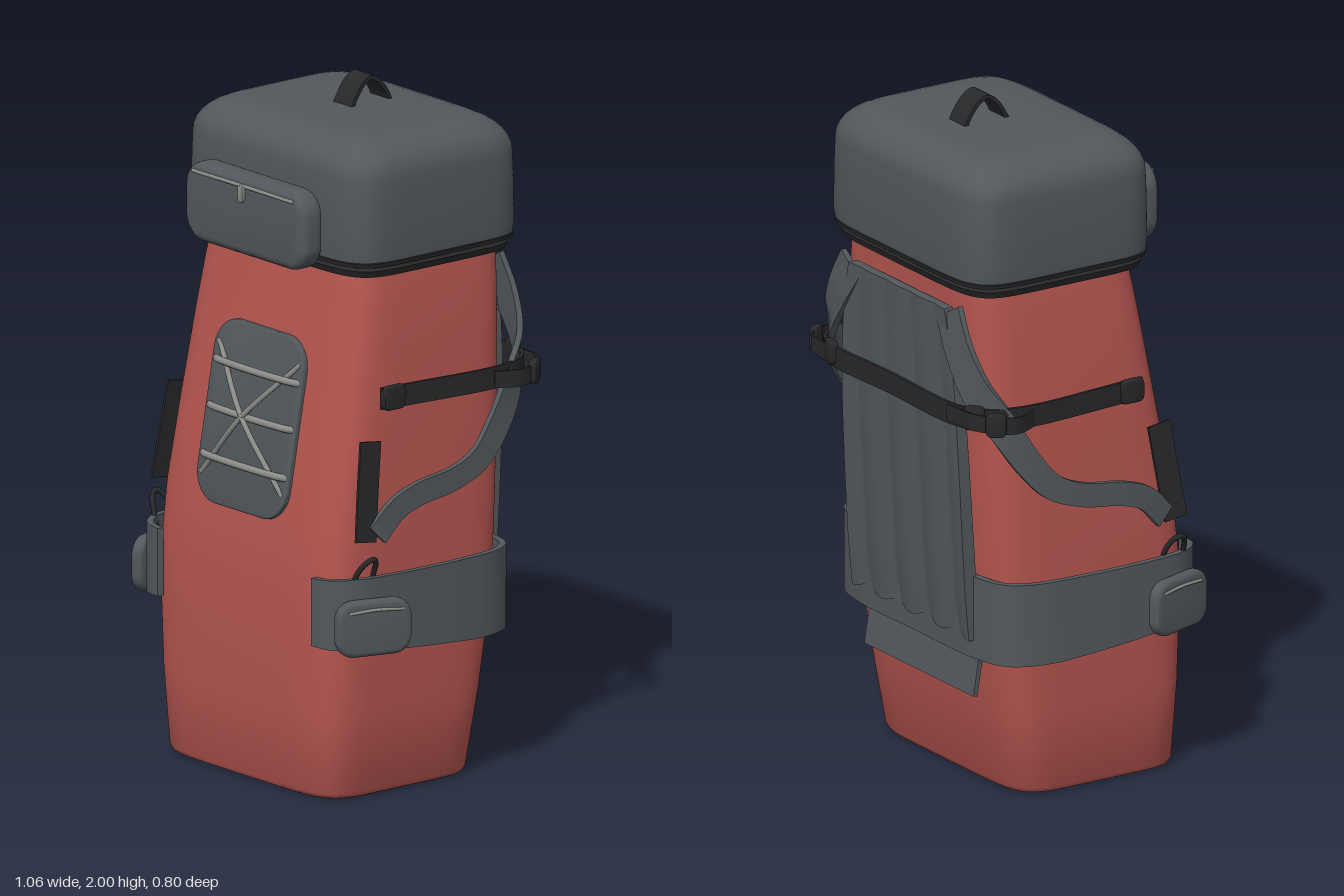
import * as THREE from 'three';
import { toCreasedNormals } from 'three/addons/utils/BufferGeometryUtils.js';

const RED = 0xb5554f, GREY = 0x52585c, BLACK = 0x28282b, CORD = 0x8c8c88;
const V = (x, y, z) => new THREE.Vector3(x, y, z);

function add(parent, name, geo, color, pos = [0, 0, 0], rot = [0, 0, 0]) {
  const m = new THREE.Mesh(geo, new THREE.MeshStandardMaterial({ color, side: THREE.DoubleSide }));
  m.name = name;
  m.position.set(...pos);
  m.rotation.set(...rot);
  parent.add(m);
  return m;
}

// Closed skin through rings of points, with a fan cap at both ends
function loft(rings, crease = 0.7) {
  const n = rings[0].length, pos = [], idx = [];
  rings.forEach(r => r.forEach(p => pos.push(p.x, p.y, p.z)));
  for (let i = 0; i < rings.length - 1; i++)
    for (let j = 0; j < n; j++) {
      const a = i * n + j, b = i * n + (j + 1) % n;
      idx.push(a, b, b + n, a, b + n, a + n);
    }
  [0, rings.length - 1].forEach((k, end) => {
    const c = rings[k].reduce((s, p) => s.add(p), V(0, 0, 0)).divideScalar(n), ci = pos.length / 3;
    pos.push(c.x, c.y, c.z);
    for (let j = 0; j < n; j++) {
      const a = k * n + j, b = k * n + (j + 1) % n;
      end ? idx.push(ci, a, b) : idx.push(ci, b, a);
    }
  });
  const g = new THREE.BufferGeometry();
  g.setAttribute('position', new THREE.Float32BufferAttribute(pos, 3));
  g.setIndex(idx);
  return toCreasedNormals(g, crease);
}

// Horizontal rounded-square ring: height, half width, front z, back z
function ring([y, hw, zf, zb]) {
  const f = v => Math.sign(v) * Math.abs(v) ** (2 / 6.5);
  return Array.from({ length: 88 }, (_, i) => {
    const t = (i / 88) * Math.PI * 2;
    return V(hw * f(Math.sin(t)), y, (zf + zb) / 2 + (zf - zb) / 2 * f(Math.cos(t)));
  });
}

// Direction pointing away from the boxy pack
const packNormal = p => V(Math.sign(p.x) * Math.abs(p.x / 0.43) ** 5, 0, Math.sign(p.z) * Math.abs(p.z / 0.34) ** 5);

// Flat webbing swept along points; width may vary along the path
function strap(pts, width, thick, normalAt = packNormal, steps = 60) {
  const curve = new THREE.CatmullRomCurve3(pts.map(p => V(...p)), false, 'centripetal');
  const rings = [];
  for (let i = 0; i <= steps; i++) {
    const u = i / steps, p = curve.getPointAt(u), t = curve.getTangentAt(u);
    const w = t.clone().cross(normalAt(p)).normalize(), n = w.clone().cross(t);
    w.multiplyScalar((typeof width === 'function' ? width(u) : width) / 2);
    n.multiplyScalar(thick / 2);
    rings.push([[1, 1], [-1, 1], [-1, -1], [1, -1]].map(([a, b]) => p.clone().addScaledVector(n, a).addScaledVector(w, b)));
  }
  return loft(rings);
}

const cord = (pts, r) => new THREE.TubeGeometry(new THREE.CatmullRomCurve3(pts.map(p => V(...p))), 24, r, 8);

// Rounded, bevelled pad facing +z, centred
function pad(w, h, d, r, bevel) {
  const x = w / 2 - bevel, y = h / 2 - bevel, s = new THREE.Shape();
  s.absarc(x - r, y - r, r, 0, Math.PI / 2);
  s.absarc(-x + r, y - r, r, Math.PI / 2, Math.PI);
  s.absarc(-x + r, -y + r, r, Math.PI, Math.PI * 1.5);
  s.absarc(x - r, -y + r, r, Math.PI * 1.5, Math.PI * 2);
  const g = new THREE.ExtrudeGeometry(s, { depth: d - 2 * bevel, bevelThickness: bevel, bevelSize: bevel, bevelSegments: 4, curveSegments: 8 });
  return toCreasedNormals(g.center(), 0.7);
}

const BODY = [
  [0, 0.37, 0.35, -0.17], [0.006, 0.384, 0.364, -0.184], [0.02, 0.392, 0.371, -0.192],
  [0.25, 0.41, 0.383, -0.23], [0.45, 0.418, 0.387, -0.26], [0.62, 0.419, 0.387, -0.278], [0.8, 0.413, 0.37, -0.29],
  [1.05, 0.402, 0.325, -0.305], [1.3, 0.386, 0.28, -0.316], [1.45, 0.373, 0.253, -0.322], [1.54, 0.36, 0.237, -0.325],
];
function bodyBack(y) {
  const i = Math.max(1, BODY.findIndex(r => r[0] >= y)), a = BODY[i - 1], b = BODY[i];
  return THREE.MathUtils.mapLinear(y, a[0], b[0], a[3], b[3]);
}

export function createModel() {
  const g = new THREE.Group();
  g.name = 'backpack';
  add(g, 'body', loft(BODY.map(ring)), RED);

  // Lid with softly rounded top and a dark seam below
  const lidRow = (y, inset) => ring([y, 0.415 - inset, 0.28 - inset, -0.36 + inset]);
  const lid = [lidRow(1.56, 0.02), lidRow(1.568, 0.004), lidRow(1.6, 0), lidRow(1.75, 0.002)];
  for (let i = 0; i <= 8; i++) {
    const a = (i / 8) * Math.PI / 2;
    lid.push(lidRow(1.81 + 0.105 * Math.sin(a), 0.004 + 0.12 * (1 - Math.cos(a))));
  }
  lid.push(lidRow(1.92, 0.22));
  add(g, 'lid', loft(lid), GREY);
  add(g, 'lidSeam', loft([[1.518, 0.04], [1.525, 0.02], [1.545, 0.012], [1.552, 0.02], [1.558, 0.004], [1.57, 0.001], [1.578, 0.01]].map(r => lidRow(...r))), BLACK);
  add(g, 'topHandle', strap([[0, 1.9, 0], [0, 1.94, -0.02], [0, 1.98, -0.05], [0, 1.994, -0.078], [0, 1.98, -0.105], [0, 1.94, -0.137], [0, 1.9, -0.155]],
    0.08, 0.012, p => V(0, p.y - 1.9, p.z + 0.078)), BLACK);

  // Lid pocket with zip
  add(g, 'lidPocket', pad(0.535, 0.235, 0.08, 0.05, 0.025), GREY, [0, 1.653, 0.325]);
  add(g, 'lidZip', cord([[-0.225, 1.742, 0.363], [0, 1.743, 0.364], [0.225, 1.742, 0.363]], 0.006), CORD);
  add(g, 'zipPull', pad(0.022, 0.05, 0.012, 0.006, 0.003), CORD, [0, 1.722, 0.372]);

  // Laced front panel
  const front = new THREE.Group();
  front.name = 'lacedPanel';
  front.position.set(0, 1.05, 0.328);
  front.rotation.x = -0.178;
  g.add(front);
  add(front, 'frontPanel', pad(0.4, 0.535, 0.024, 0.09, 0.006), GREY);
  for (const y of [0.14, 0.005, -0.135])
    add(front, 'crossCord', cord([[-0.185, y, 0.005], [-0.165, y, 0.02], [0, y, 0.034], [0.165, y, 0.02], [0.185, y, 0.005]], 0.011), CORD);
  for (const s of [1, -1])
    add(front, 'diagonalCord', cord([[-0.18 * s, -0.19, 0.008], [0, 0.005, 0.045], [0.18 * s, 0.195, 0.008]], 0.008), CORD);

  // Ribbed back panel with scalloped lower edge
  const back = new THREE.BoxGeometry(1, 1, 1, 48, 24, 1), p = back.attributes.position;
  for (let i = 0; i < p.count; i++) {
    const u = p.getX(i) * 2, v = p.getY(i) + 0.5, rib = Math.abs(Math.cos(u * Math.PI * 2));
    const y = 0.5 + 0.97 * v - 0.025 * rib * (1 - v) ** 4;
    const out = p.getZ(i) < 0 ? 0.026 + 0.016 * rib * (1 - v * 0.7) : 0;
    p.setXYZ(i, u * (0.3 - 0.055 * v ** 5), y, bodyBack(y) - 0.008 - out);
  }
  add(g, 'backPanel', toCreasedNormals(back, 0.7), GREY);
  add(g, 'lowerFlap', new THREE.BoxGeometry(0.56, 0.18, 0.014), GREY, [0, 0.385, -0.263], [0.16, 0, 0]);

  // Padded hip belt wrapping round the back
  const beltSide = [[0.34, 0.565, 0.388], [0.4, 0.565, 0.375], [0.445, 0.565, 0.32], [0.462, 0.56, 0.22], [0.466, 0.55, 0], [0.452, 0.545, -0.17], [0.41, 0.545, -0.255], [0.3, 0.545, -0.288]];
  const other = beltSide.map(([x, y, z]) => [-x, y, z]).reverse();
  add(g, 'hipBelt', strap([...beltSide, [0, 0.545, -0.292], ...other], u => 0.2 + 0.045 * Math.min(1, 4 * Math.min(u, 1 - u)), 0.02, packNormal, 120), GREY);

  // Dark strap across the back and along both sides
  const bandSide = [[0.415, 1.175, 0.2], [0.43, 1.175, 0.05], [0.447, 1.175, -0.16], [0.44, 1.175, -0.24], [0.41, 1.175, -0.32], [0.34, 1.178, -0.372]];
  add(g, 'compressionStrap', strap([...bandSide, [0, 1.18, -0.378], ...bandSide.map(([x, y, z]) => [-x, y, z]).reverse()], 0.064, 0.01, packNormal, 120), BLACK);

  for (const s of [1, -1]) {
    const m = pts => pts.map(([x, y, z]) => [x * s, y, z]);

    // Shoulder strap, from the back panel round to the lower side
    add(g, 'shoulderStrap', strap(m([[0.25, 1.46, -0.345], [0.31, 1.36, -0.352], [0.375, 1.25, -0.335], [0.425, 1.14, -0.275], [0.445, 1.03, -0.205], [0.455, 0.95, -0.13], [0.462, 0.91, -0.03], [0.466, 0.89, 0.1], [0.464, 0.86, 0.18], [0.456, 0.79, 0.25]]),
      u => 0.115 - 0.045 * Math.min(1, u * 1.5), 0.018), GREY);
    add(g, 'sidePatch', strap(m([[0.428, 1.06, 0.25], [0.44, 0.92, 0.27], [0.455, 0.775, 0.29]]), 0.075, 0.008, () => V(s, 0, 0)), BLACK);

    // Side strap hardware and loose tail
    add(g, 'sideBuckle', pad(0.08, 0.072, 0.02, 0.012, 0.006), BLACK, [0.424 * s, 1.175, 0.16], [0, s * Math.PI / 2, 0]);
    add(g, 'strapTail', strap(m([[0.3, 1.18, -0.386], [0.37, 1.18, -0.38], [0.41, 1.18, -0.375], [0.455, 1.175, -0.335], [0.483, 1.17, -0.27], [0.452, 1.17, -0.19]]), 0.05, 0.006), BLACK);
    add(g, 'tailBuckle', pad(0.06, 0.07, 0.024, 0.012, 0.006), BLACK, [0.462 * s, 1.175, -0.328], [0, s * 2.2, 0]);
    add(g, 'backBuckle', pad(0.065, 0.07, 0.026, 0.012, 0.006), BLACK, s > 0 ? [0.3, 1.19, -0.383] : [-0.385, 1.18, -0.352], [0, Math.PI - s * (s > 0 ? 0.3 : 0.7), 0]);

    // Hip belt pocket with zip and webbing loop
    const turn = s * (Math.PI / 2 - 0.3);
    add(g, 'hipPocket', pad(0.23, 0.165, 0.04, 0.04, 0.014), GREY, [0.479 * s, 0.53, 0.283], [0, turn, 0]);
    add(g, 'hipZip', cord(m([[0.522, 0.58, 0.205], [0.5, 0.585, 0.285], [0.474, 0.58, 0.365]]), 0.005), CORD);
    add(g, 'beltLoop', cord(m([[0.435, 0.63, 0.32], [0.45, 0.68, 0.321], [0.475, 0.72, 0.305], [0.483, 0.73, 0.287], [0.475, 0.72, 0.269], [0.45, 0.68, 0.256], [0.435, 0.63, 0.257]]), 0.008), BLACK);
  }
  return g;
}
